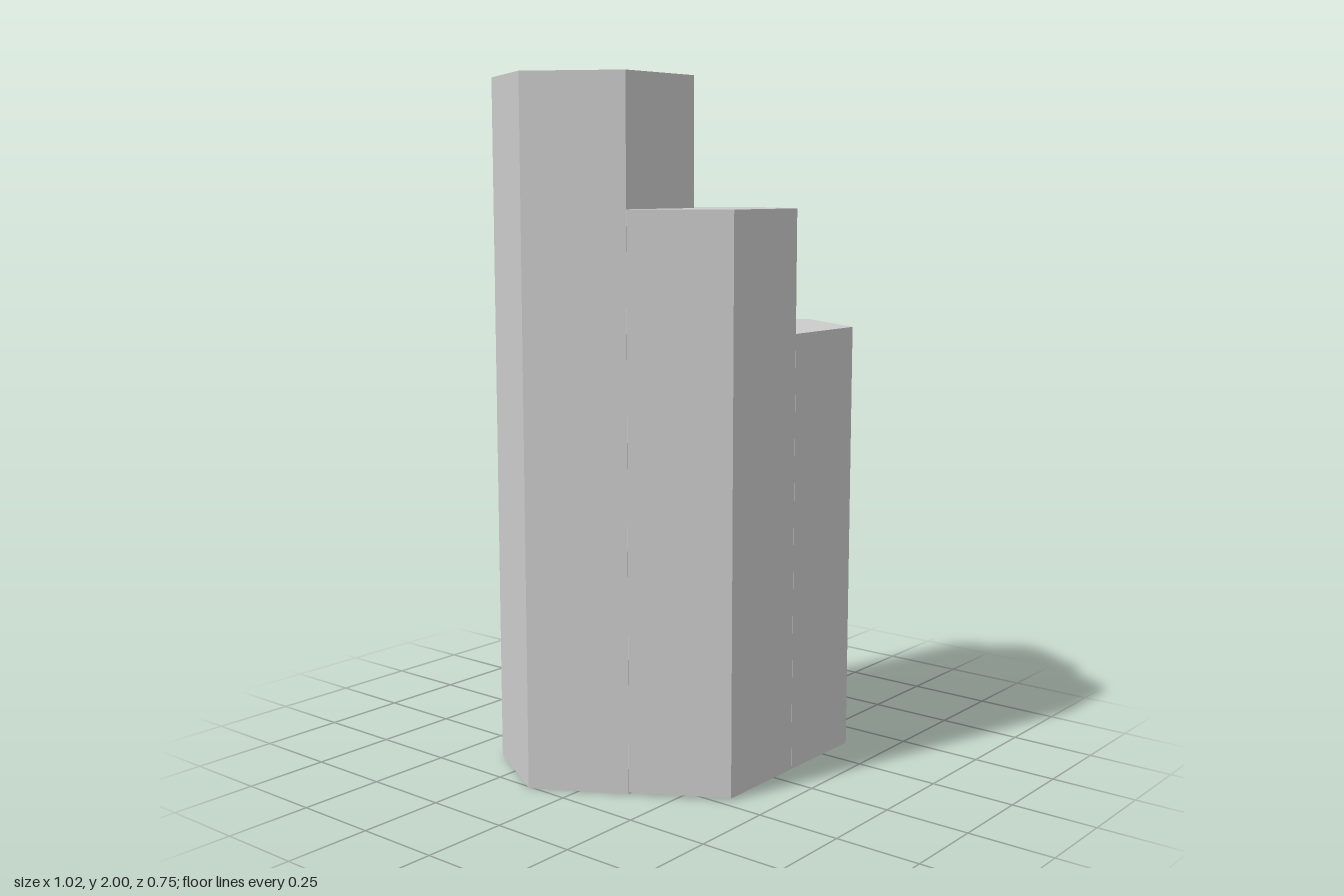
import * as THREE from 'three';

const RADIUS = 0.29;

// Upright hexagonal prism with corners pointing along x
function column(name, x, z, bottom, top, material) {
  const height = top - bottom;
  const geometry = new THREE.CylinderGeometry(RADIUS, RADIUS, height, 6, 1, false, Math.PI / 2);
  const mesh = new THREE.Mesh(geometry, material);
  mesh.name = name;
  mesh.position.set(x, bottom + height / 2, z);
  return mesh;
}

export function createModel() {
  const group = new THREE.Group();
  group.name = 'hexagonalColumns';
  const material = new THREE.MeshStandardMaterial({ color: 0xcccccc, flatShading: true });

  // Three interlocking columns stepping down from the back to the left
  group.add(
    column('tallColumn', -0.218, -0.126, 0, 2, material),
    column('middleColumn', -0.073, 0.126, 0.006, 1.635, material),
    column('shortColumn', 0.218, 0.126, 0.006, 1.285, material)
  );
  return group;
}
